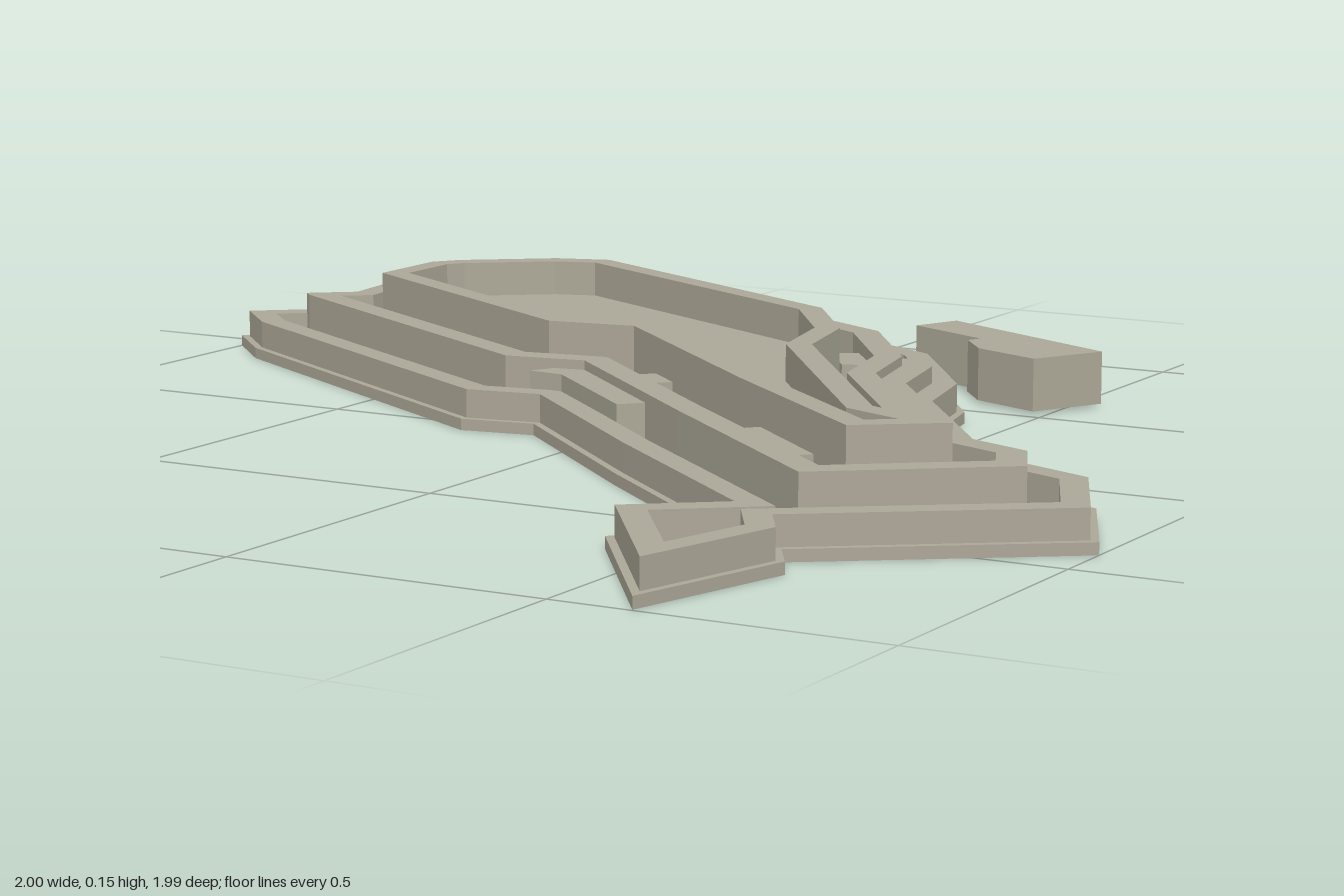
import * as THREE from 'three';

export function createModel() {
  const model = new THREE.Group();
  const stone = new THREE.MeshStandardMaterial({ color: 0xaca797 });
  stone.name = 'weathered stone';

  // Plan outlines as [x, z]: left tip, shared back run, right end, spur, front run
  const leftTip = [[-1, -0.44], [-0.89, -0.53]];
  const back = [[-0.905, -0.67], [-0.825, -0.785], [-0.64, -0.93], [-0.44, -0.995],
    [0.04, -0.745], [0.25, -0.635], [0.42, -0.395], [0.455, -0.235], [0.72, 0.12]];
  const rightEnd = [[0.905, 0.195], [1, 0.4]];
  const spur = [[0.655, 0.655], [0.695, 0.72], [0.625, 0.997], [0.41, 0.7], [0.535, 0.6]];
  const front = [[0.2, 0.315], [-0.11, 0.035], [-0.23, 0.055]];
  const frontLeft = [-0.9, -0.34];

  const full = [...leftTip, ...back, ...rightEnd, ...spur, ...front, frontLeft];
  const middle = [...leftTip, ...back, ...rightEnd, [0.628, 0.69], ...front, frontLeft];
  const inner = [...back, [1.14, 0.29], [0.628, 0.679], ...front, [-0.905, -0.343]];

  // Move every edge of a closed outline inwards by d, with mitred corners
  function inset(points, d) {
    const n = points.length;
    const normal = (a, b) => {
      const dx = b[0] - a[0], dz = b[1] - a[1], l = Math.hypot(dx, dz);
      return [-dz / l, dx / l];
    };
    return points.map((p, i) => {
      const a = normal(points[(i + n - 1) % n], p);
      const b = normal(p, points[(i + 1) % n]);
      const k = d / (1 + a[0] * b[0] + a[1] * b[1]);
      return [p[0] + (a[0] + b[0]) * k, p[1] + (a[1] + b[1]) * k];
    });
  }

  // Plan points to shape points, turned counter-clockwise
  const toVectors = (pts) => {
    const v = pts.map(([x, z]) => new THREE.Vector2(x, -z));
    return THREE.ShapeUtils.isClockWise(v) ? v.reverse() : v;
  };

  // Upright prism on a plan outline, optionally hollow
  function prism(name, outline, bottom, top, hole) {
    const shape = new THREE.Shape(toVectors(outline));
    if (hole) shape.holes.push(new THREE.Path(toVectors(hole).reverse()));
    const geometry = new THREE.ExtrudeGeometry(shape, { depth: top - bottom, bevelEnabled: false });
    geometry.rotateX(-Math.PI / 2).translate(0, bottom, 0);
    const mesh = new THREE.Mesh(geometry, stone);
    mesh.name = name;
    model.add(mesh);
  }

  const wall = (name, outline, from, to, top) =>
    prism(name, inset(outline, from), 0.01, top, inset(outline, to));

  // Ground slab and three rising ring walls
  prism('baseSlab', full, 0, 0.018);
  wall('outerWall', full, 0.012, 0.052, 0.063);
  wall('middleWall', middle, 0.097, 0.14, 0.105);
  wall('innerWall', inner, 0.193, 0.232, 0.148);

  // Raised floor within the inner wall
  const floorTop = 0.09;
  prism('courtFloor', inset(inner, 0.22), 0.01, floorTop);

  // Raised walkways between the walls
  const walkways = {
    frontOuterWalkway: [[-0.15, -0.02], [-0.09, -0.015], [0.118, 0.17], [0.15, 0.135], [-0.07, -0.07], [-0.13, -0.06]],
    sideOuterWalkway: [[0.333, -0.431], [0.373, -0.374], [0.407, -0.213], [0.687, 0.163],
      [0.657, 0.202], [0.363, -0.193], [0.328, -0.355], [0.288, -0.412]],
    frontInnerWalkway: [[0, -0.06], [0.062, -0.007], [0.094, -0.043], [0.035, -0.1]],
    endInnerWalkway: [[0.36, 0.26], [0.522, 0.408], [0.554, 0.372], [0.39, 0.225]],
    sideInnerWalkway: [[0.215, -0.43], [0.287, -0.335], [0.243, -0.317], [0.176, -0.402]],
  };
  for (const [name, outline] of Object.entries(walkways)) prism(name, outline, 0.01, floorTop);

  // Detached block beyond the walls
  prism('detachedBlock', [[0.205, -0.81], [0.545, -0.64], [0.48, -0.52], [0.36, -0.57],
    [0.31, -0.635], [0.32, -0.66], [0.17, -0.73]], 0.005, floorTop);

  return model;
}
